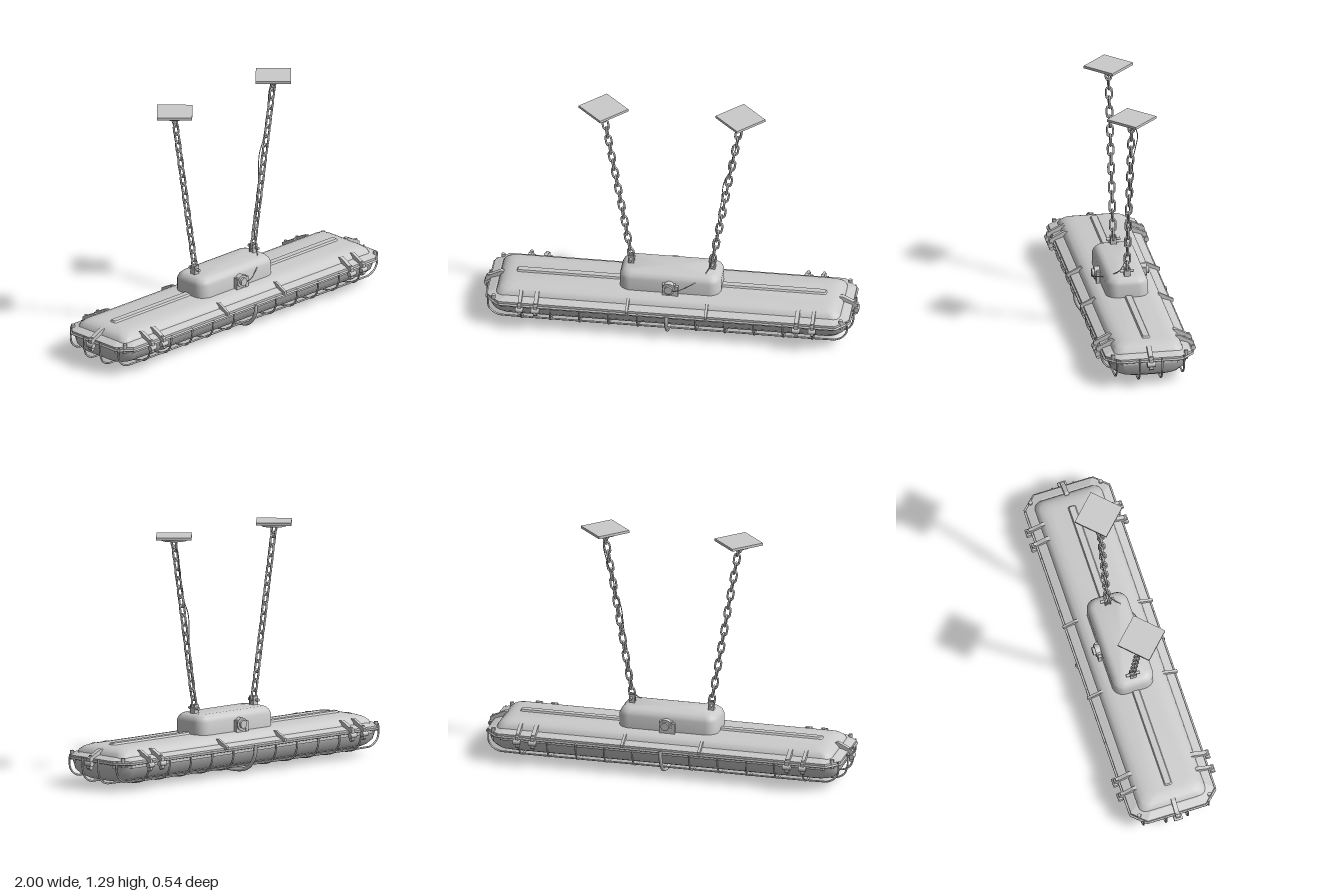
import * as THREE from 'three';
import { toCreasedNormals } from 'three/addons/utils/BufferGeometryUtils.js';

const material = new THREE.MeshStandardMaterial({ color: 0xcccccc });
const V = (x, y, z) => new THREE.Vector3(x, y, z);

function add(parent, name, geometry, x = 0, y = 0, z = 0) {
  const mesh = new THREE.Mesh(geometry, material);
  mesh.name = name;
  mesh.position.set(x, y, z);
  parent.add(mesh);
  return mesh;
}

// Capped loft through rounded rectangles [y, halfX, halfZ, cornerRadius], bottom to top
function loft(sections, cornerSteps, crease = 0.5) {
  const positions = [], index = [], n = 4 * (cornerSteps + 1);
  for (const [y, hx, hz, r] of sections) {
    for (let c = 0; c < 4; c++) {
      const sx = c === 0 || c === 3 ? 1 : -1, sz = c < 2 ? 1 : -1;
      for (let i = 0; i <= cornerSteps; i++) {
        const a = (c + i / cornerSteps) * Math.PI / 2;
        positions.push(sx * (hx - r) + r * Math.cos(a), y, sz * (hz - r) + r * Math.sin(a));
      }
    }
  }
  const last = sections.length - 1;
  for (let s = 0; s < last; s++) {
    for (let i = 0; i < n; i++) {
      const a = s * n + i, b = s * n + (i + 1) % n;
      index.push(a, a + n, b, b, a + n, b + n);
    }
  }
  const low = positions.length / 3;
  positions.push(0, sections[0][0], 0, 0, sections[last][0], 0);
  for (let i = 0; i < n; i++) {
    const j = (i + 1) % n;
    index.push(low, i, j, low + 1, last * n + j, last * n + i);
  }
  const g = new THREE.BufferGeometry();
  g.setAttribute('position', new THREE.Float32BufferAttribute(positions, 3));
  g.setIndex(index);
  return toCreasedNormals(g, crease);
}

function wire(points, radius, segments, closed = false, sides = 8) {
  const curve = new THREE.CatmullRomCurve3(points, closed, 'centripetal');
  return new THREE.TubeGeometry(curve, segments, radius, sides, closed);
}

// Extend a half path with its mirror image
function mirrored(half, axis) {
  const other = half.filter(p => Math.abs(p[axis]) > 1e-6).map(p => {
    const q = p.clone();
    q[axis] *= -1;
    return q;
  });
  return [...half, ...other.reverse()];
}

function extrude(points, width) {
  const shape = new THREE.Shape(points.map(p => new THREE.Vector2(...p)));
  const g = new THREE.ExtrudeGeometry(shape, { depth: width, bevelEnabled: false });
  return g.translate(0, 0, -width / 2);
}

// Latch facing +x, measured outward from the lamp's long axis
function latch(full, width) {
  const g = new THREE.Group();
  g.name = 'latch';
  const profile = full
    ? [[0.165, 0.17], [0.24, 0.155], [0.24, 0.11], [0.25, 0.10], [0.262, 0.11], [0.262, 0.165], [0.25, 0.172], [0.182, 0.207], [0.165, 0.207]]
    : [[0.165, 0.17], [0.235, 0.15], [0.25, 0.155], [0.25, 0.17], [0.182, 0.205], [0.165, 0.205]];
  add(g, 'latchLever', extrude(profile, width));
  if (full) {
    const pin = add(g, 'latchPin', new THREE.CylinderGeometry(0.014, 0.014, width + 0.022, 12), 0.256, 0.135, 0);
    pin.rotation.x = Math.PI / 2;
    add(g, 'latchNut', new THREE.CylinderGeometry(0.009, 0.009, 0.022, 6), 0.245, 0.168, 0);
  }
  return g;
}

function buildBody(root) {
  add(root, 'lens', loft([
    [0.035, 0.86, 0.09, 0.05], [0.041, 0.895, 0.13, 0.07], [0.058, 0.925, 0.17, 0.08],
    [0.085, 0.942, 0.198, 0.08], [0.13, 0.948, 0.212, 0.08]], 6, 0.7));
  add(root, 'lensRim', loft([[0.122, 0.95, 0.217, 0.07], [0.148, 0.95, 0.217, 0.07]], 1));
  add(root, 'flange', loft([
    [0.146, 0.965, 0.232, 0.07], [0.162, 0.965, 0.232, 0.07], [0.176, 0.925, 0.192, 0.06]], 1, 0.2));
  add(root, 'housing', loft([
    [0.165, 0.922, 0.19, 0.05], [0.188, 0.912, 0.182, 0.05], [0.204, 0.893, 0.164, 0.05],
    [0.214, 0.868, 0.138, 0.05], [0.219, 0.84, 0.105, 0.05]], 6, 0.7));
  add(root, 'topRidge', loft([[0.21, 0.83, 0.026, 0.01], [0.229, 0.82, 0.016, 0.008]], 3));
  add(root, 'junctionBox', loft([
    [0.19, 0.27, 0.113, 0.06], [0.285, 0.27, 0.113, 0.06], [0.304, 0.262, 0.105, 0.055],
    [0.318, 0.247, 0.09, 0.045], [0.324, 0.23, 0.073, 0.03]], 8, 0.7));

  // Cable entries on both long faces of the box
  for (const s of [1, -1]) {
    add(root, 'entryBase', new THREE.BoxGeometry(0.07, 0.07, 0.03), 0, 0.245, s * 0.118);
    for (const [r, depth, z] of [[0.034, 0.04, 0.12], [0.022, 0.03, 0.138]]) {
      const boss = add(root, 'entryBoss', new THREE.CylinderGeometry(r, r, depth, 20), 0, 0.257, s * z);
      boss.rotation.x = Math.PI / 2;
    }
    add(root, 'entryLug', new THREE.BoxGeometry(0.02, 0.06, 0.02), s * 0.04, 0.24, s * 0.125);
  }
}

function buildLatches(root) {
  for (const side of [1, -1]) {
    for (const [x, full, width] of [[0.78, true, 0.018], [0.695, true, 0.022], [0.21, false, 0.014]]) {
      for (const end of [1, -1]) {
        const l = latch(full, width);
        l.rotation.y = -side * Math.PI / 2;
        l.position.x = end * x;
        root.add(l);
      }
    }
    const endLatch = latch(true, 0.024);
    endLatch.rotation.y = side > 0 ? 0 : Math.PI;
    endLatch.position.x = side * 0.73;
    root.add(endLatch);
    // Corner bolts
    for (const z of [0.195, -0.195]) {
      add(root, 'cornerBolt', new THREE.CylinderGeometry(0.011, 0.011, 0.05, 6), side * 0.925, 0.155, z);
    }
  }
}

function buildCage(root) {
  const cage = new THREE.Group();
  cage.name = 'guardCage';
  root.add(cage);
  // Octagonal top hoop
  const corners = [[0.968, 0.165], [0.9, 0.237], [-0.9, 0.237], [-0.968, 0.165],
    [-0.968, -0.165], [-0.9, -0.237], [0.9, -0.237], [0.968, -0.165]];
  const hoop = new THREE.CurvePath();
  corners.forEach((p, i) => {
    const q = corners[(i + 1) % 8];
    hoop.add(new THREE.LineCurve3(V(p[0], 0.147, p[1]), V(q[0], 0.147, q[1])));
  });
  add(cage, 'guardHoop', new THREE.TubeGeometry(hoop, 240, 0.006, 6, true));
  // Cross ribs
  for (let k = -5; k <= 5; k++) {
    if (k === 0) continue;
    const x = k * 0.155;
    const half = [V(x, 0.155, 0.236), V(x, 0.1, 0.232), V(x, 0.055, 0.205), V(x, 0.033, 0.15), V(x, 0.026, 0)];
    add(cage, 'crossRib', wire(mirrored(half, 'z'), 0.005, 40));
  }
  // Lengthwise wires turned up at the ends
  for (const [z, y, reach] of [[0.06, 0.028, 0.975], [0.18, 0.045, 0.955]]) {
    for (const s of [1, -1]) {
      const half = [V(reach, 0.165, s * z), V(reach, 0.1, s * z), V(reach - 0.018, y + 0.025, s * z),
        V(reach - 0.055, y + 0.003, s * z), V(reach - 0.11, y, s * z), V(0, y, s * z)];
      add(cage, 'lengthWire', wire(mirrored(half, 'x'), 0.005, 150));
    }
  }
  // Heavy central strap
  const strap = [V(0, 0.155, 0.24), V(0, 0.115, 0.24), V(0, 0.075, 0.225), V(0, 0.035, 0.19), V(0, 0.014, 0.13), V(0, 0.01, 0)];
  add(cage, 'centreStrap', wire(mirrored(strap, 'z'), 0.01, 48));
}

function buildSuspension(root) {
  // Stadium-shaped link
  const path = [];
  for (let i = 0; i < 16; i++) {
    const a = (i + 0.5) / 16 * Math.PI * 2;
    path.push(V(0.0145 * Math.cos(a), 0.0145 * Math.sin(a) + (Math.sin(a) > 0 ? 0.0175 : -0.0175), 0));
  }
  const link = wire(path, 0.0055, 32, true);
  for (const s of [1, -1]) {
    const bottom = V(s * 0.218, 0.375, 0), top = V(s * 0.363, 1.235, 0);
    const chain = new THREE.Group();
    chain.name = 'chain';
    root.add(chain);
    for (let i = 0; i < 18; i++) {
      const p = bottom.clone().lerp(top, i / 17);
      const m = add(chain, 'chainLink', link, p.x, p.y, p.z);
      m.rotation.set(0, i % 2 ? Math.PI / 2 : 0, -s * 0.167, 'ZYX');
    }
    // Lug on the junction box
    add(root, 'lugPost', new THREE.BoxGeometry(0.028, 0.04, 0.022), s * 0.218, 0.335, 0);
    const pin = add(root, 'lugPin', new THREE.CylinderGeometry(0.008, 0.008, 0.075, 10), s * 0.218, 0.35, 0);
    pin.rotation.x = Math.PI / 2;
    for (const z of [0.013, -0.013]) {
      add(root, 'lugCheek', new THREE.BoxGeometry(0.032, 0.05, 0.007), s * 0.216, 0.345, z);
    }
    // Ceiling mount
    const plate = add(root, 'ceilingPlate', new THREE.BoxGeometry(0.187, 0.014, 0.187), s * 0.365, 1.284, 0);
    plate.rotation.y = Math.PI / 4;
    add(root, 'ceilingDisc', new THREE.CylinderGeometry(0.07, 0.066, 0.015, 32), s * 0.365, 1.27, 0);
    add(root, 'ceilingEye', wire([V(-0.017, 0.03, 0), V(-0.016, 0.005, 0), V(0, -0.014, 0), V(0.016, 0.005, 0), V(0.017, 0.03, 0)],
      0.006, 20), s * 0.365, 1.238, 0);
  }
  // Supply cable climbing one chain
  add(root, 'cable', wire([V(0, 0.257, 0.14), V(0.03, 0.257, 0.155), V(0.1, 0.275, 0.13), V(0.17, 0.31, 0.085),
    V(0.205, 0.35, 0.035), V(0.22, 0.43, 0.005), V(0.245, 0.6, 0.006), V(0.262, 0.74, -0.008), V(0.275, 0.86, -0.014),
    V(0.305, 0.93, -0.016), V(0.32, 1.02, -0.012), V(0.345, 1.1, -0.022), V(0.365, 1.19, -0.032),
    V(0.37, 1.23, -0.02), V(0.365, 1.265, -0.005)], 0.0025, 120, false, 6));
}

export function createModel() {
  const root = new THREE.Group();
  root.name = 'hangingLamp';
  buildBody(root);
  buildLatches(root);
  buildCage(root);
  buildSuspension(root);
  return root;
}
